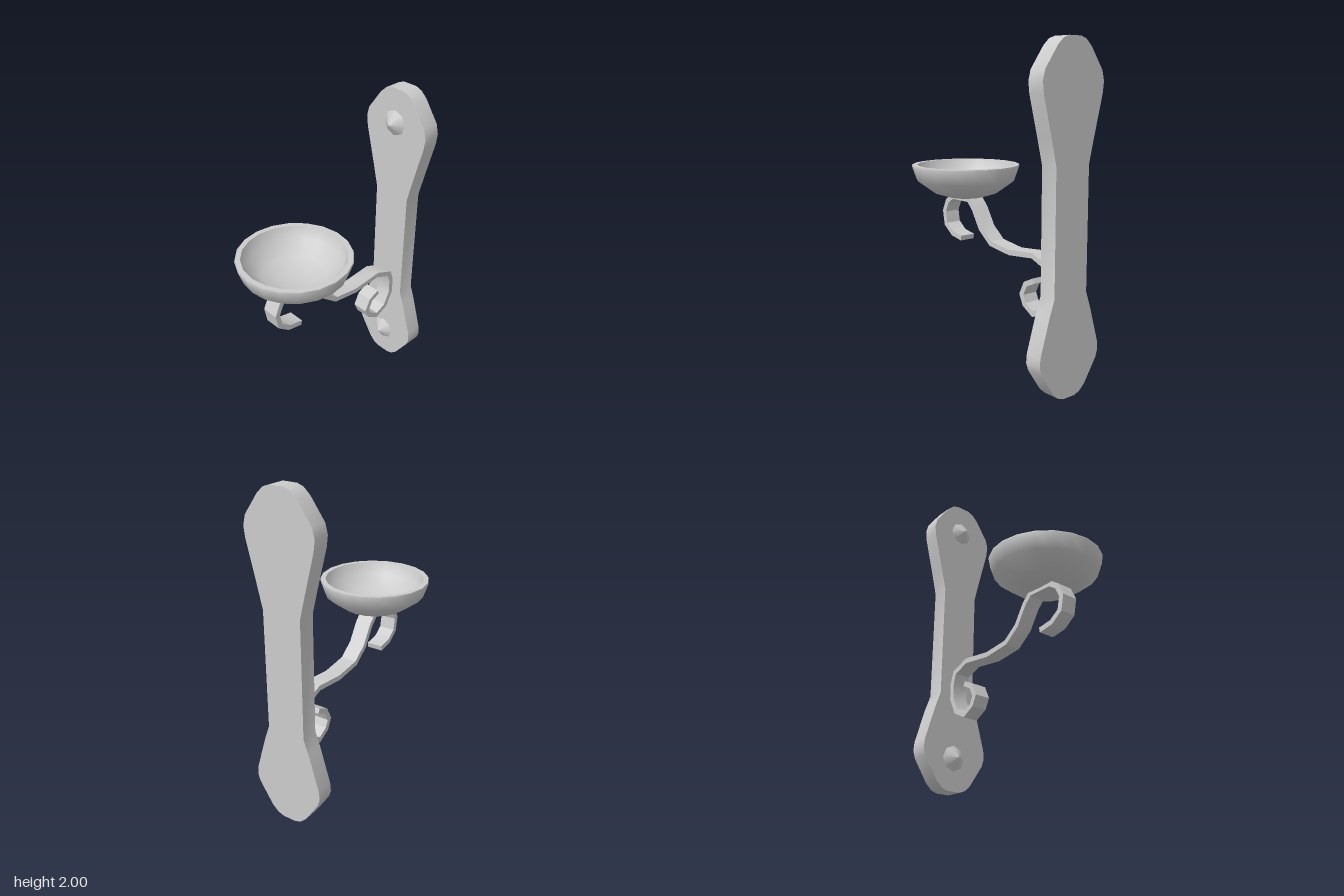
import * as THREE from 'three';
import { toCreasedNormals } from 'three/addons/utils/BufferGeometryUtils.js';

const points = (list) => list.map(([x, y]) => new THREE.Vector2(x, y));

// Closed outline of a strip with constant thickness along a polyline, mitred at the bends
function stripShape(path, thickness) {
  const left = [], right = [];
  path.forEach((p, i) => {
    const before = path[Math.max(i - 1, 0)];
    const after = path[Math.min(i + 1, path.length - 1)];
    const a = p.clone().sub(before).normalize();
    const b = after.clone().sub(p).normalize();
    const t = a.clone().add(b).normalize();
    const n = new THREE.Vector2(-t.y, t.x);
    const cos = Math.max(t.dot(i ? a : b), 0.6);
    left.push(p.clone().addScaledVector(n, thickness / 2 / cos));
    right.unshift(p.clone().addScaledVector(n, -thickness / 2 / cos));
  });
  return new THREE.Shape([...left, ...right]);
}

export function createModel() {
  const model = new THREE.Group();
  model.name = 'wallSconce';
  const material = new THREE.MeshStandardMaterial({ color: 0xcccccc });
  const add = (name, geometry, crease) => {
    const mesh = new THREE.Mesh(toCreasedNormals(geometry, crease), material);
    mesh.name = name;
    model.add(mesh);
    return mesh;
  };

  // Wall board: narrow waist with rounded paddle ends
  const side = points([
    [0.045, 0], [0.085, 0.014], [0.125, 0.05], [0.215, 0.185], [0.23, 0.23], [0.225, 0.285],
    [0.16, 0.5], [0.125, 0.597], [0.125, 1.318], [0.16, 1.46], [0.222, 1.7],
    [0.23, 1.765], [0.215, 1.825], [0.125, 1.95], [0.085, 1.986], [0.045, 2],
  ]);
  const mirrored = side.map((p) => new THREE.Vector2(-p.x, p.y)).reverse();
  const board = new THREE.ExtrudeGeometry(new THREE.Shape([...side, ...mirrored]), {
    depth: 0.109, bevelEnabled: false,
  });
  board.rotateY(Math.PI / 2).translate(0.521, 0, -0.01);
  add('wallBoard', board, 0.7);

  // Pointed screw caps on the board's face
  for (const [name, y] of [['upperScrewCap', 1.79], ['lowerScrewCap', 0.2]]) {
    const cap = new THREE.ConeGeometry(0.08, 0.056, 8);
    cap.rotateZ(Math.PI / 2);
    add(name, cap, 0.8).position.set(0.494, y, -0.018);
  }

  // Scrolled strap arm, from the curl under the bowl to the curl at the board
  const path = points([
    [-0.295, 0.775], [-0.39, 0.793], [-0.457, 0.845], [-0.473, 0.93], [-0.44, 1.0],
    [-0.385, 1.035], [-0.22, 1.035], [-0.17, 0.984], [-0.1, 0.868], [-0.003, 0.79],
    [0.17, 0.765], [0.37, 0.783], [0.484, 0.735], [0.505, 0.67], [0.505, 0.571],
    [0.458, 0.476], [0.378, 0.437], [0.307, 0.48], [0.282, 0.535], [0.315, 0.603],
    [0.383, 0.635],
  ]);
  const arm = new THREE.ExtrudeGeometry(stripShape(path, 0.032), {
    depth: 0.103, bevelEnabled: false,
  });
  arm.translate(0, 0, -0.06);
  add('scrollArm', arm, 0.5);

  // Open bowl: outside up to the flat rim, then down the inside
  const profile = points([
    [0, 1.037], [0.11, 1.043], [0.2, 1.07], [0.31, 1.15], [0.34, 1.238], [0.338, 1.249],
    [0.307, 1.249], [0.28, 1.175], [0.19, 1.107], [0.1, 1.08], [0, 1.073],
  ]);
  add('bowl', new THREE.LatheGeometry(profile, 20), 0.8).position.x = -0.295;

  return model;
}
